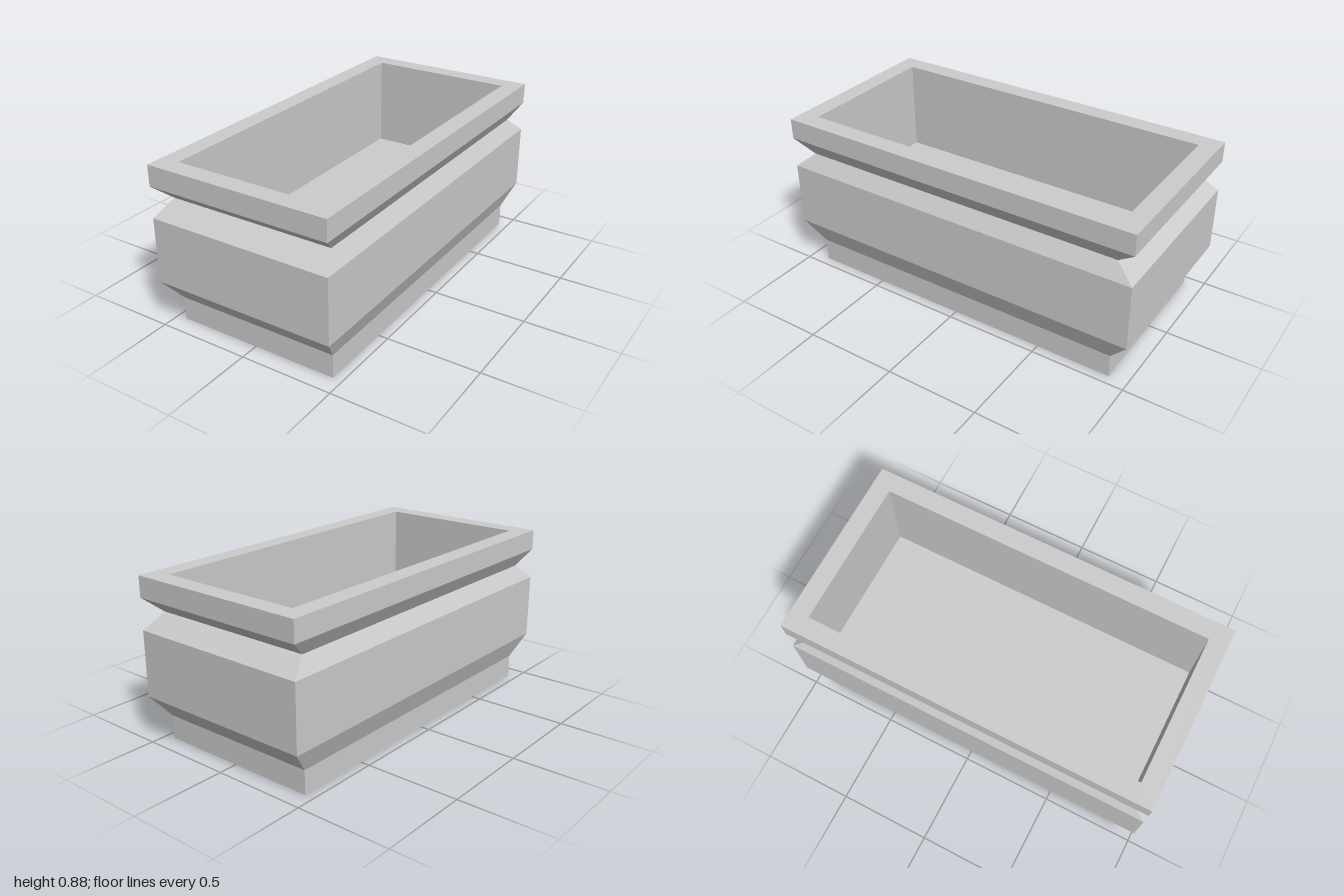
import * as THREE from 'three';

// Four corners of a rectangular ring, counter-clockwise seen from above
const ring = ([x, z, y]) => [[x, y, z], [x, y, -z], [-x, y, -z], [-x, y, z]];

// Flat-faced shell through successive [halfWidth, halfDepth, height] rings
function loft(profile, capStart = false, capEnd = false) {
  const rings = profile.map(ring);
  const pos = [];
  const quad = (a, b, c, d) => pos.push(...a, ...b, ...c, ...a, ...c, ...d);
  for (let k = 0; k < rings.length - 1; k++) {
    const a = rings[k], b = rings[k + 1];
    for (let i = 0; i < 4; i++) {
      const j = (i + 1) % 4;
      quad(a[i], a[j], b[j], b[i]);
    }
  }
  if (capStart) quad(...[...rings[0]].reverse());
  if (capEnd) quad(...rings[rings.length - 1]);
  const geometry = new THREE.BufferGeometry();
  geometry.setAttribute('position', new THREE.Float32BufferAttribute(pos, 3));
  geometry.computeVertexNormals();
  return geometry;
}

export function createModel() {
  const group = new THREE.Group();
  group.name = 'planter';
  const stone = new THREE.MeshStandardMaterial({ name: 'stone grey', color: 0xcccccc });

  const add = (name, geometry) => {
    const mesh = new THREE.Mesh(geometry, stone);
    mesh.name = name;
    group.add(mesh);
  };

  // Plinth with closed underside
  add('plinth', loft([[0.45, 0.9, 0], [0.45, 0.9, 0.126]], true));

  // Flared belly tapering in to the neck
  add('belly', loft([
    [0.45, 0.9, 0.126], [0.5, 1, 0.251], [0.5, 1, 0.599], [0.45, 0.9, 0.68],
  ]));

  // Overhanging rim with its flat top border
  add('rim', loft([
    [0.45, 0.9, 0.68], [0.5, 1, 0.765], [0.5, 1, 0.876], [0.4, 0.9, 0.876],
  ]));

  // Hollow inside with flat floor
  add('basin', loft([[0.4, 0.9, 0.876], [0.4, 0.9, 0.375]], false, true));

  return group;
}
